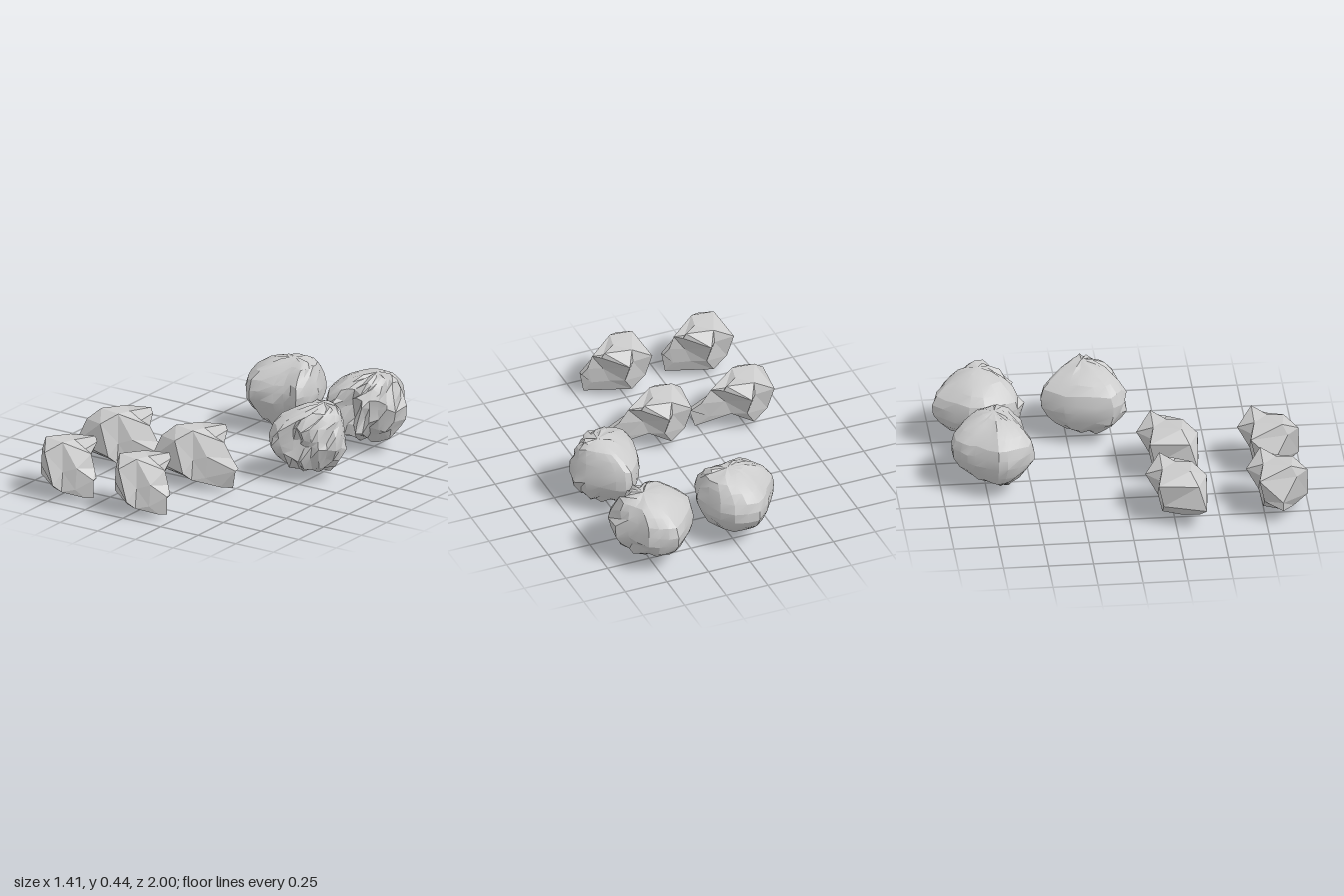
import * as THREE from 'three';
import { toCreasedNormals } from 'three/addons/utils/BufferGeometryUtils.js';
import { ConvexGeometry } from 'three/addons/geometries/ConvexGeometry.js';

const grey = () => new THREE.MeshStandardMaterial({ color: 0xcccccc, side: THREE.DoubleSide });

function seeded(seed) {
  return () => {
    seed = (seed * 16807) % 2147483647;
    return seed / 2147483647;
  };
}

// Corners of the angular stone
const corners = [
  // front face, with an inset below the brow
  [-.04, .28, .425], [.02, .1, .435], [-.21, .14, .41], [-.165, .27, .37], [.05, .17, .38],
  [.13, .2, .36], [.13, .08, .375], [.055, .06, .4], [-.145, .09, .38],
  // top, notched at the back
  [-.095, .335, .33], [.03, .33, .35], [.135, .34, .18], [.15, .31, .185], [.05, .325, .26],
  [-.03, .32, .18], [-.03, .25, .165], [-.14, .27, .15], [.02, .27, .09],
  // spur on the left side
  [.115, .28, .25], [.12, .2, .235], [.19, .27, .275], [.245, .19, .28], [.3, .145, .3],
  [.3, .14, .33], [.27, .03, .31], [.21, .035, .35],
  // back and underside
  [.02, .14, .16], [-.11, .13, .18], [.09, .12, .22], [-.03, .06, .18], [-.1, .07, .28],
  [.2, .1, .27], [-.03, .055, .35]
];

// Triangulates the corner directions as a hull, then restores the true corners
function angularStone(name, x, z, narrow) {
  const centre = new THREE.Vector3(.03, .19, .28);
  const pts = corners.map(([px, py, pz]) => {
    if (narrow && px > .15) px = .15 + (px - .15) * .47;
    if (narrow && px < -.14 && pz > .3) {
      px = py < .2 ? -.16 : -.1;
      pz = py < .2 ? .28 : .36;
    }
    return new THREE.Vector3(px, py, pz);
  });
  const dirs = pts.map(p => p.clone().sub(centre).normalize());
  const geo = new ConvexGeometry(dirs);
  const pos = geo.attributes.position;
  const v = new THREE.Vector3();
  for (let i = 0; i < pos.count; i++) {
    v.fromBufferAttribute(pos, i);
    let best = 0;
    dirs.forEach((d, k) => { if (d.dot(v) > dirs[best].dot(v)) best = k; });
    pos.setXYZ(i, ...pts[best].toArray());
  }
  geo.computeVertexNormals();
  const mat = grey();
  mat.flatShading = true;
  const mesh = new THREE.Mesh(geo, mat);
  mesh.name = name;
  mesh.position.set(x, 0, z);
  return mesh;
}

// Height fraction and depth of each ring of a boulder
const profile = [[0, 0], [.06, .36], [.14, .62], [.27, .84], [.42, .98], [.56, 1], [.7, .92],
  [.82, .74], [.91, .53], [.97, .28], [1, 0]];

// Rounded boulder: plan outline scaled by the profile, smooth behind and crumpled elsewhere
function boulder(name, cx, cz, outline, { seed, crumple, hollow, tip }) {
  const rand = seeded(seed);
  const n = 22;
  const curve = new THREE.CatmullRomCurve3(
    outline.map(([x, z]) => new THREE.Vector3(x - cx, 0, z - cz)), true, 'catmullrom', .4);
  const plan = Array.from({ length: n }, (_, i) => curve.getPoint(i / n));
  const last = profile.length - 1;
  const verts = [], index = [];
  profile.forEach(([t, s], j) => {
    for (let i = 0; i < n; i++) {
      // single points close the top and bottom
      if (s === 0 && i > 0) {
        verts.push(...verts.slice(j * n * 3, j * n * 3 + 3));
        continue;
      }
      const p = plan[i];
      const face = (p.x * .6 + p.z * .8) / p.length();
      const rough = THREE.MathUtils.smoothstep(face * .6 + (.6 - t) * 1.2, -.3, .7);
      const k = 1 + (rand() - .6) * (.03 + rough * crumple);
      // squarer across than in depth, with the crown leaning to the left
      const x = p.x * k * s ** .65 + Math.max(0, t - .75) * .24;
      let z = p.z * k * s;
      let y = .055 + .395 * t + (s > 0 ? (rand() - .5) * (.012 + rough * crumple * .25) : 0);
      // hollow in the front
      if (z > 0) {
        const d = Math.hypot(x, (y - .25) * 1.1);
        z -= hollow * (1 - THREE.MathUtils.smoothstep(d, .04, .13)) * Math.min(1, z / .1);
      }
      // pointed foot underneath
      if (j < 3) y -= tip * Math.exp(-((x - .02) ** 2 + (z - .06) ** 2) / .004);
      verts.push(x, y, z);
    }
  });
  for (let j = 0; j < last; j++) {
    for (let i = 0; i < n; i++) {
      const a = j * n + i, b = j * n + (i + 1) % n;
      const c = a + n, d = b + n;
      if (j > 0) index.push(a, c, b);
      if (j < last - 1) index.push(b, c, d);
    }
  }
  const geo = new THREE.BufferGeometry();
  geo.setAttribute('position', new THREE.Float32BufferAttribute(verts, 3));
  geo.setIndex(index);
  const mesh = new THREE.Mesh(toCreasedNormals(geo, .35), grey());
  mesh.name = name;
  mesh.position.set(cx, 0, cz);
  return mesh;
}

export function createModel() {
  const group = new THREE.Group();
  group.name = 'rocks';

  // four angular stones in two rows
  group.add(
    angularStone('wideStoneRight', -.495, 0, false),
    angularStone('wideStoneLeft', 0, 0, false),
    angularStone('narrowStoneRight', -.49, .56, true),
    angularStone('narrowStoneLeft', 0, .56, true)
  );

  // three boulders behind, outlines run from the back round by the left
  group.add(
    boulder('smoothBoulder', -.05, -.7, [
      [-.085, -.94], [.03, -.935], [.125, -.845], [.175, -.69], [.165, -.61], [.13, -.53],
      [.06, -.55], [-.02, -.52], [-.14, -.49], [-.205, -.52], [-.265, -.635], [-.265, -.715],
      [-.19, -.82], [-.155, -.88]
    ], { seed: 11, crumple: .04, hollow: 0, tip: .07 }),
    boulder('crumpledBoulderBack', .47, -.74, [
      [.43, -1], [.5, -.98], [.58, -.94], [.63, -.84], [.695, -.77], [.7, -.63], [.63, -.61],
      [.57, -.57], [.53, -.51], [.455, -.53], [.4, -.49], [.31, -.53], [.245, -.69],
      [.265, -.82], [.35, -.92]
    ], { seed: 29, crumple: .15, hollow: .07, tip: 0 }),
    boulder('crumpledBoulderFront', .5, -.16, [
      [.45, -.4], [.51, -.38], [.61, -.28], [.695, -.18], [.7, -.11], [.66, -.05], [.61, .01],
      [.54, .08], [.49, .07], [.4, .1], [.34, .04], [.3, -.02], [.33, -.2], [.37, -.3]
    ], { seed: 53, crumple: .15, hollow: .07, tip: 0 })
  );
  return group;
}
